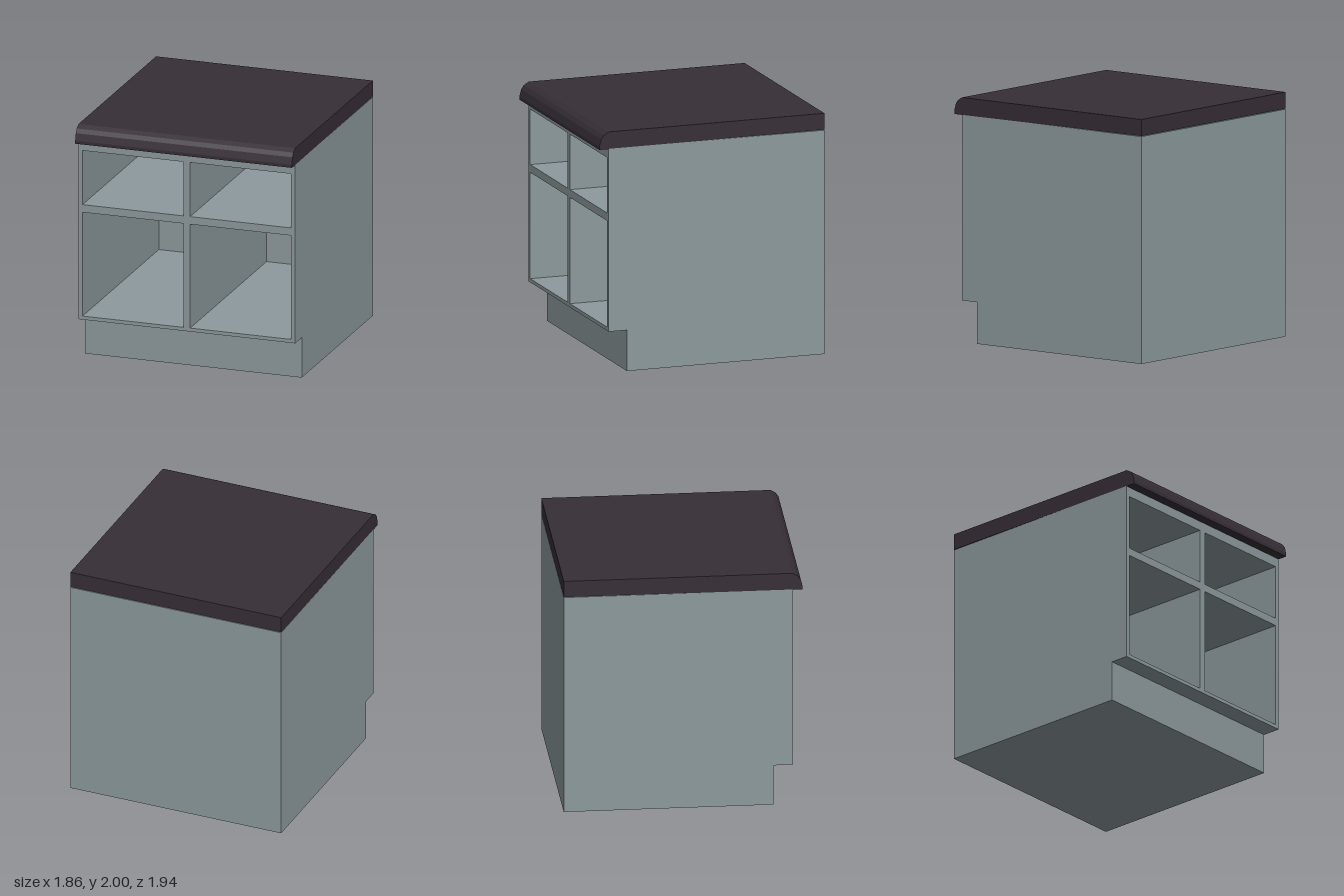
import * as THREE from 'three';

export function createModel() {
  const group = new THREE.Group();
  const cabinetPaint = new THREE.MeshStandardMaterial({ color: 0x8c999c });
  cabinetPaint.name = 'cabinet grey';
  const worktopDark = new THREE.MeshStandardMaterial({ color: 0x362e36 });
  worktopDark.name = 'worktop dark';

  const W = 0.93;                     // half width
  const BACK = -0.97, FRONT = 0.89;   // cabinet depth
  const BOTTOM = 0.34, TOP = 1.86;    // carcass height
  const PANEL = 0.03;                 // back panel thickness

  const add = (name, geometry, material) => {
    const mesh = new THREE.Mesh(geometry, material);
    mesh.name = name;
    group.add(mesh);
    return mesh;
  };
  const box = (name, y0, y1, z0, z1) =>
    add(name, new THREE.BoxGeometry(2 * W, y1 - y0, z1 - z0), cabinetPaint)
      .position.set(0, (y0 + y1) / 2, (z0 + z1) / 2);
  const rectangle = (Type, x0, y0, x1, y1) => new Type([
    new THREE.Vector2(x0, y0), new THREE.Vector2(x1, y0),
    new THREE.Vector2(x1, y1), new THREE.Vector2(x0, y1),
  ]);

  // Carcass: two drawer openings above two cupboard openings
  const face = rectangle(THREE.Shape, -W, BOTTOM, W, TOP);
  for (const [y0, y1] of [[0.37, 1.253], [1.318, 1.778]]) {
    for (const [x0, x1] of [[-0.896, -0.031], [0.028, 0.893]]) {
      face.holes.push(rectangle(THREE.Path, x0, y0, x1, y1));
    }
  }
  const carcass = new THREE.ExtrudeGeometry(face, {
    depth: FRONT - BACK - PANEL, bevelEnabled: false,
  });
  carcass.translate(0, 0, BACK + PANEL);
  add('carcass', carcass, cabinetPaint);

  box('backPanel', BOTTOM, TOP, BACK, BACK + PANEL);
  box('plinth', 0, BOTTOM, BACK, 0.733); // recessed toe kick

  // Worktop: side profile as (z, y) with a rounded front nose, swept across x
  const profile = new THREE.Shape([
    [BACK, 1.865], [0.97, 1.857], [0.97, 1.883], [0.955, 1.942],
    [0.932, 1.975], [0.89, 2], [BACK, 2],
  ].map(([z, y]) => new THREE.Vector2(-z, y)));
  const worktop = new THREE.ExtrudeGeometry(profile, { depth: 2 * W, bevelEnabled: false });
  worktop.rotateY(Math.PI / 2);
  worktop.translate(-W, 0, 0);
  add('worktop', worktop, worktopDark);

  return group;
}
